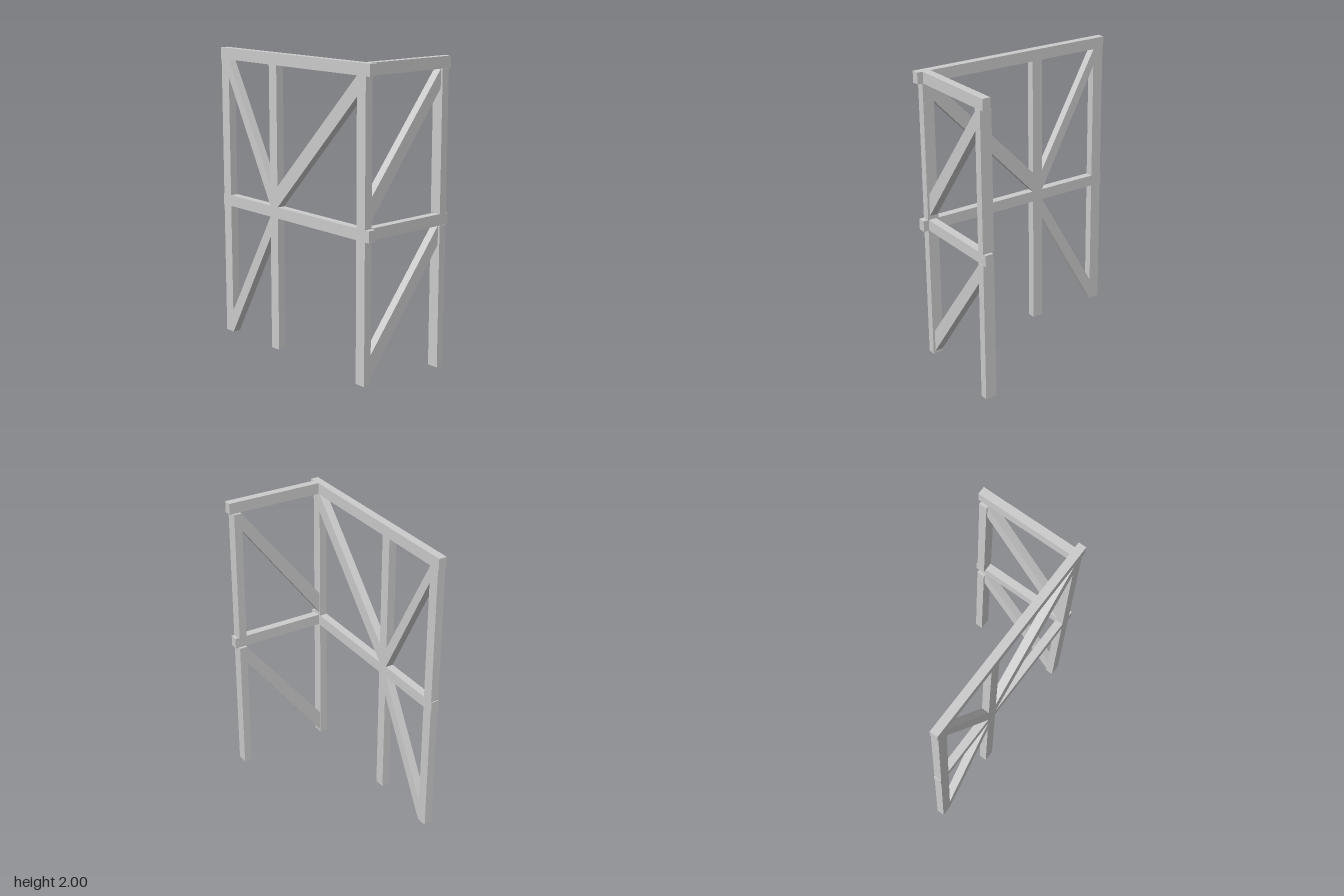
import * as THREE from 'three';

const material = new THREE.MeshStandardMaterial({ color: 0xcccccc, flatShading: true });

export function createModel() {
  const model = new THREE.Group();
  model.name = 'timberFrame';
  const sideWall = new THREE.Group();
  sideWall.name = 'sideWall';
  const frontWall = new THREE.Group();
  frontWall.name = 'frontWall';
  model.add(sideWall, frontWall);

  // Box given by its extents on each axis
  function beam(parent, name, [x0, x1], [y0, y1], [z0, z1]) {
    const mesh = new THREE.Mesh(new THREE.BoxGeometry(x1 - x0, y1 - y0, z1 - z0), material);
    mesh.position.set((x0 + x1) / 2, (y0 + y1) / 2, (z0 + z1) / 2);
    mesh.name = name;
    parent.add(mesh);
  }

  // Diagonal brace with vertical cut ends: a0, a1 are positions along the wall
  function brace(parent, name, a0, [low0, high0], a1, [low1, high1], thickness) {
    const shape = new THREE.Shape([
      new THREE.Vector2(a0, low0), new THREE.Vector2(a1, low1),
      new THREE.Vector2(a1, high1), new THREE.Vector2(a0, high0),
    ]);
    const geometry = new THREE.ExtrudeGeometry(shape, { depth: thickness, bevelEnabled: false });
    const mesh = new THREE.Mesh(geometry, material);
    mesh.name = name;
    parent.add(mesh);
    return mesh;
  }

  const rails = { middleRail: [0.94, 1.014], topRail: [1.925, 2] };
  const sideX = [-0.36, -0.306];
  const frontZ = [0.628, 0.683];

  // Horizontal rails of both walls
  for (const [name, y] of Object.entries(rails)) {
    beam(sideWall, name, sideX, y, [-0.72, 0.722]);
    beam(frontWall, name, [-0.306, 0.356], y, frontZ);
  }

  // Posts are split into a lower and an upper length by the middle rail
  function post(parent, name, x, bottom, z) {
    beam(parent, name + 'Lower', x, [bottom, 0.94], z);
    beam(parent, name + 'Upper', x, [1.014, 1.925], z);
  }
  post(sideWall, 'cornerPost', sideX, 0.03, [0.612, 0.688]);
  post(sideWall, 'middlePost', sideX, 0.05, [-0.212, -0.137]);
  post(sideWall, 'rearPost', sideX, 0.05, [-0.714, -0.638]);
  post(frontWall, 'outerPost', [0.28, 0.334], 0, [0.608, 0.687]);

  // Braces of the front wall
  for (const [name, left, right] of [
    ['lowerBrace', [0.05, 0.2], [0.815, 0.94]],
    ['upperBrace', [1.04, 1.185], [1.805, 1.925]],
  ]) {
    brace(frontWall, name, -0.306, left, 0.28, right, 0.055).position.z = 0.618;
  }

  // Braces of the side wall, drawn along -z and turned into place
  for (const [name, a0, y0, a1, y1] of [
    ['longBrace', -0.612, [1.8, 1.925], 0.137, [1.014, 1.15]],
    ['rearUpperBrace', 0.212, [1.014, 1.155], 0.638, [1.81, 1.925]],
    ['rearLowerBrace', 0.212, [0.805, 0.94], 0.638, [0.05, 0.2]],
  ]) {
    const mesh = brace(sideWall, name, a0, y0, a1, y1, 0.054);
    mesh.rotation.y = Math.PI / 2;
    mesh.position.x = sideX[0];
  }
  return model;
}
